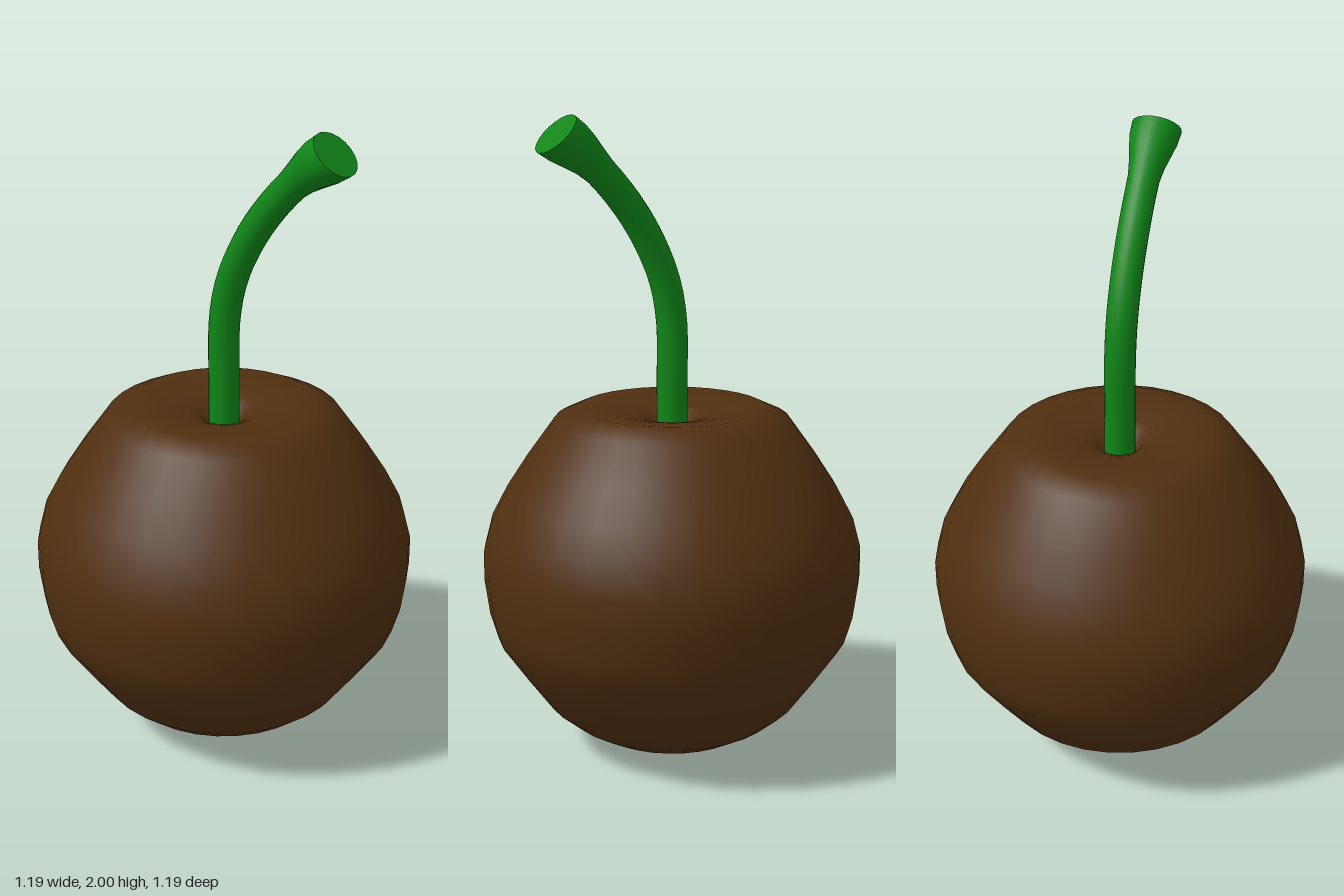
import * as THREE from 'three';
import { toCreasedNormals } from 'three/addons/utils/BufferGeometryUtils.js';

const v2 = (p) => new THREE.Vector2(...p);

function makePart(name, geometry, color) {
  const mesh = new THREE.Mesh(geometry, new THREE.MeshStandardMaterial({ color }));
  mesh.name = name;
  return mesh;
}

// Round fruit: profile from the bottom centre, over the shoulder, into the stem hollow
function fruitGeometry() {
  const profile = [
    [0, 0], [0.09, 0.012], [0.17, 0.025], [0.25, 0.045], [0.33, 0.09], [0.4, 0.148],
    [0.475, 0.25], [0.555, 0.365], [0.58, 0.45], [0.595, 0.56], [0.595, 0.65],
    [0.57, 0.745], [0.52, 0.84], [0.455, 0.94], [0.365, 1.065], [0.29, 1.1],
    [0.2, 1.092], [0.12, 1.075], [0.07, 1.055], [0.045, 1.01], [0, 0.99],
  ].map(v2);
  return new THREE.LatheGeometry(profile, 32);
}

// Stem: a capped cylinder bent along a curve and flared at the tip
function stemGeometry() {
  const path = new THREE.CatmullRomCurve3([
    [0, 0.99], [0, 1.18], [0.002, 1.37], [0.028, 1.5], [0.09, 1.635],
    [0.175, 1.757], [0.29, 1.875], [0.392, 1.948],
  ].map(([x, y]) => new THREE.Vector3(x, y, 0)));
  const geometry = new THREE.CylinderGeometry(1, 1, 1, 20, 24);
  const pos = geometry.attributes.position;
  for (let i = 0; i < pos.count; i++) {
    const t = THREE.MathUtils.clamp(pos.getY(i) + 0.5, 0, 1);
    const c = path.getPointAt(t);
    // keep the end face square to a 45 degree direction
    const dir = path.getTangentAt(t).lerp(new THREE.Vector3(0.7, 0.714, 0), t ** 6).normalize();
    const r = 0.048 + 0.029 * THREE.MathUtils.smoothstep(t, 0.82, 0.99);
    const x = pos.getX(i) * r;
    pos.setXYZ(i, c.x + dir.y * x, c.y - dir.x * x, pos.getZ(i) * r);
  }
  return toCreasedNormals(geometry, 0.9);
}

export function createModel() {
  const model = new THREE.Group();
  model.name = 'cherry';
  model.add(makePart('fruit', fruitGeometry(), 0x502f10));
  model.add(makePart('stem', stemGeometry(), 0x108518));
  return model;
}
